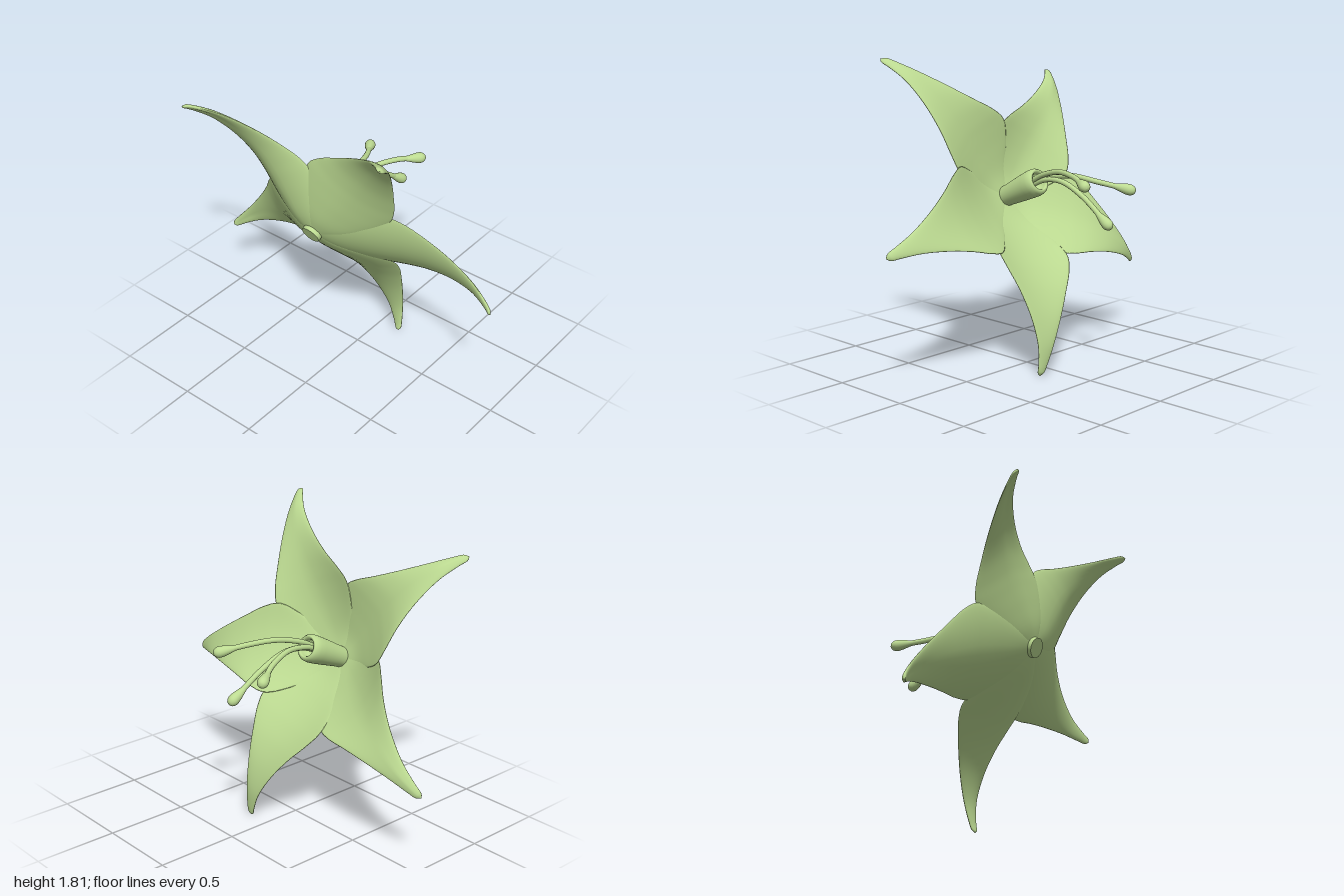
import * as THREE from 'three';

const V = (x, y, z) => new THREE.Vector3(x, y, z);
const green = new THREE.MeshStandardMaterial({ color: 0xbddb92 });

function addMesh(parent, name, geometry) {
  const mesh = new THREE.Mesh(geometry, green);
  mesh.name = name;
  parent.add(mesh);
  return mesh;
}

// Petal stations: fraction along, height of the midrib, half width
const petalCurve = new THREE.CatmullRomCurve3([
  V(0, 0, 0.05), V(0.12, 0.02, 0.13), V(0.25, 0.065, 0.228), V(0.36, 0.108, 0.275),
  V(0.45, 0.14, 0.25), V(0.57, 0.168, 0.187), V(0.71, 0.172, 0.12),
  V(0.85, 0.142, 0.063), V(0.95, 0.09, 0.033), V(0.985, 0.065, 0.022), V(1, 0.052, 0),
]);

// Thin closed blade, cupped across its width, running along +x.
// lift raises the tip; pullPlus and pullMinus draw the shoulder on each side towards the base
function petalGeometry(length, lift, pullPlus, pullMinus) {
  const rows = 48, ring = 32, positions = [], index = [];
  for (let i = 0; i <= rows; i++) {
    const s = petalCurve.getPoint(i / rows);
    const half = Math.max(s.z, 0.0005);
    const thick = Math.min(0.014, half * 0.7);
    for (let j = 0; j < ring; j++) {
      const a = (j / ring) * Math.PI * 2;
      const c = Math.cos(a), side = half * c;
      const pull = (c > 0 ? pullPlus : pullMinus) * Math.sin(Math.PI * s.x) * Math.abs(c);
      const height = s.y + lift * s.x + 0.8 * side * side + thick * Math.sin(a);
      positions.push((s.x - pull) * length, height, side);
      if (i < rows) {
        const p = i * ring + j, q = i * ring + (j + 1) % ring;
        index.push(p, p + ring, q, q, p + ring, q + ring);
      }
    }
  }
  const geometry = new THREE.BufferGeometry();
  geometry.setAttribute('position', new THREE.Float32BufferAttribute(positions, 3));
  geometry.setIndex(index);
  geometry.computeVertexNormals();
  return geometry;
}

// Curved filament with a drop-shaped anther on its end
function addStamen(parent, points) {
  const stamen = new THREE.Group();
  stamen.name = 'stamen';
  const curve = new THREE.CatmullRomCurve3(points);
  addMesh(stamen, 'filament', new THREE.TubeGeometry(curve, 32, 0.016, 12));
  const profile = [[0.014, -0.08], [0.02, -0.055], [0.027, -0.025], [0.032, 0.005], [0.03, 0.028], [0.018, 0.046], [0, 0.052]];
  const spline = new THREE.SplineCurve(profile.map(([x, y]) => new THREE.Vector2(x, y)));
  const outline = spline.getPoints(20).map((p) => p.setX(Math.max(p.x, 0)));
  const anther = addMesh(stamen, 'anther', new THREE.LatheGeometry(outline, 20));
  anther.position.copy(curve.getPoint(1));
  anther.quaternion.setFromUnitVectors(V(0, 1, 0), curve.getTangent(1));
  parent.add(stamen);
}

export function createModel() {
  const model = new THREE.Group();
  model.name = 'flower';

  // Bloom frame: local y is the flower axis, tilted towards +x
  const bloom = new THREE.Group();
  bloom.name = 'bloom';
  bloom.position.set(-0.28, 0.95, -0.1);
  bloom.rotation.z = -THREE.MathUtils.degToRad(65.2);
  model.add(bloom);

  // Five petals: angle around the axis, length, tip lift, shoulder pulls
  const petals = [
    [38, 1.14, 0.035, 0.075, 0],
    [102, 1.125, 0.05, 0, 0],
    [167.5, 1.112, 0.015, 0, 0],
    [238, 1.065, -0.03, 0.02, 0.06],
    [318, 1.03, -0.02, 0.06, 0.075],
  ];
  for (const [angle, ...shape] of petals) {
    const petal = addMesh(bloom, 'petal', petalGeometry(...shape));
    petal.rotation.y = THREE.MathUtils.degToRad(angle + 180);
  }

  // Receptacle disc behind the petals
  const receptacle = addMesh(bloom, 'receptacle', new THREE.CylinderGeometry(0.062, 0.058, 0.05, 32));
  receptacle.position.y = -0.005;

  // Hollow central tube with a rounded lip
  const tube = [[0.06, 0], [0.067, 0.08], [0.075, 0.16], [0.081, 0.23], [0.083, 0.27], [0.079, 0.3],
    [0.068, 0.317], [0.056, 0.315], [0.05, 0.3], [0.048, 0.25], [0, 0.25]];
  addMesh(bloom, 'centralTube', new THREE.LatheGeometry(tube.map(([x, y]) => new THREE.Vector2(x, y)), 36));

  // Three stamens arching out of the tube
  addStamen(model, [V(-0.06, 1.07, -0.09), V(0.04, 1.12, -0.085), V(0.2, 1.16, -0.055), V(0.36, 1.155, 0), V(0.49, 1.13, 0.065)]);
  addStamen(model, [V(-0.06, 1.06, -0.12), V(0.04, 1.1, -0.135), V(0.2, 1.125, -0.165), V(0.36, 1.1, -0.22), V(0.5, 1.065, -0.305)]);
  addStamen(model, [V(-0.06, 1.05, -0.11), V(0.04, 1.09, -0.11), V(0.18, 1.095, -0.105), V(0.34, 1.03, -0.1), V(0.525, 0.905, -0.088)]);

  return model;
}
